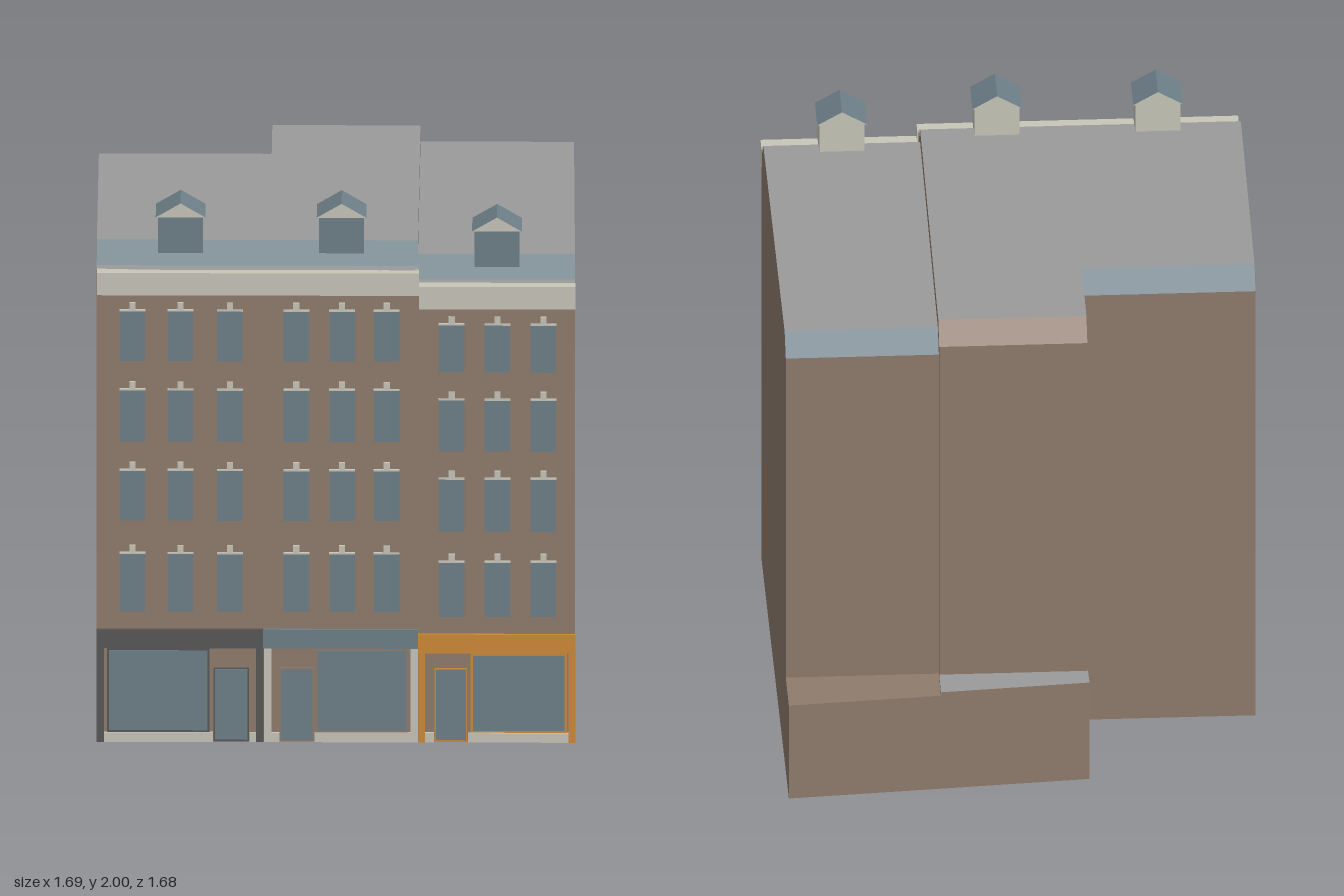
import * as THREE from 'three';

const mat = (name, color) => Object.assign(new THREE.MeshStandardMaterial({ color }), { name });

export function createModel() {
  const brick = mat('brick', 0x8f7c6d);
  const slate = mat('slate', 0x6e7f89);
  const roof = mat('roofGrey', 0x9a9a9a);
  const stone = mat('stone', 0xc8c6b9);
  const dark = mat('charcoal', 0x585858);
  const orange = mat('orange', 0xcf8838);

  const model = new THREE.Group();
  model.name = 'terraceBuilding';

  const add = (parent, name, geometry, material) => {
    const mesh = new THREE.Mesh(geometry, material);
    mesh.name = name;
    parent.add(mesh);
    return mesh;
  };
  // Box given by its limits on each axis
  const box = (parent, name, material, x0, x1, y0, y1, z0, z1) => {
    const g = new THREE.BoxGeometry(x1 - x0, y1 - y0, z1 - z0);
    g.translate((x0 + x1) / 2, (y0 + y1) / 2, (z0 + z1) / 2);
    return add(parent, name, g, material);
  };

  // Prism along x from a side profile of [z, y, material of the next edge]
  const prism = (parent, name, capMaterial, profile, x0, x1, taper = 0) => {
    const mats = [...new Set([capMaterial, ...profile.map((p) => p[2])])];
    const pos = [];
    const g = new THREE.BufferGeometry();
    const put = (p, right) => pos.push(right ? x1 - taper * (0.8 - p[0]) : x0, p[1], p[0]);
    profile.forEach((a, i) => {
      const b = profile[(i + 1) % profile.length];
      g.addGroup(pos.length / 3, 6, mats.indexOf(a[2]));
      [[a, 1], [a, 0], [b, 0], [a, 1], [b, 0], [b, 1]].forEach(([p, r]) => put(p, r));
    });
    const start = pos.length / 3;
    const outline = profile.map((p) => new THREE.Vector2(-p[0], p[1]));
    for (const [a, b, c] of THREE.ShapeUtils.triangulateShape(outline, [])) {
      [a, b, c].forEach((i) => put(profile[i], true));
      [c, b, a].forEach((i) => put(profile[i], false));
    }
    g.addGroup(start, pos.length / 3 - start, 0);
    g.setAttribute('position', new THREE.Float32BufferAttribute(pos, 3));
    g.computeVertexNormals();
    return add(parent, name, g, mats);
  };

  // Three houses with chamfered roofs
  const house = (name, x0, x1, h, back, backSlope, taper) => prism(model, name, brick, [
    [0.8, 0, brick], [back, 0, brick], [back, h - 0.07, backSlope], [back + 0.07, h, roof],
    [0.68, h, slate], [0.75, h - 0.072, roof], [0.8, h - 0.072, brick],
  ], x0, x1, taper);
  house('leftHouse', -0.847, -0.235, 1.83, -0.358, slate, 0);
  house('middleHouse', -0.235, 0.29, 1.83, -0.68, brick, 0);
  house('rightHouse', 0.29, 0.847, 1.78, -0.65, slate, 0.01);

  // Low rear extensions with a slanting back wall
  const extension = (name, plan, h, top) => {
    const shape = new THREE.Shape(plan.map(([x, z]) => new THREE.Vector2(x, -z)));
    const g = new THREE.ExtrudeGeometry(shape, { depth: h, bevelEnabled: false });
    g.rotateX(-Math.PI / 2);
    add(model, name, g, [top, brick]);
  };
  extension('middleExtension', [[-0.235, -0.6], [0.29, -0.6], [0.29, -0.8], [-0.239, -0.76]], 0.4, roof);
  extension('rightExtension', [[0.29, -0.6], [0.833, -0.6], [0.831, -0.84], [0.29, -0.8]], 0.386, brick);

  // Cornices
  box(model, 'leftCornice', stone, -0.845, 0.295, 1.675, 1.758, 0.79, 0.838);
  box(model, 'rightCornice', stone, 0.295, 0.848, 1.625, 1.709, 0.79, 0.838);

  // Dormers
  const dormer = (x, y) => {
    const group = new THREE.Group();
    group.name = 'dormer';
    box(group, 'dormerWalls', stone, -0.08, 0.08, 0, 0.135, 0.63, 0.762);
    box(group, 'dormerWindow', slate, -0.08, 0.08, 0, 0.135, 0.762, 0.767);
    const gable = new THREE.Shape([
      new THREE.Vector2(-0.088, 0.135), new THREE.Vector2(0.088, 0.135), new THREE.Vector2(0, 0.187),
    ]);
    const g = new THREE.ExtrudeGeometry(gable, { depth: 0.154, bevelEnabled: false });
    g.translate(0, 0, 0.621);
    add(group, 'dormerRoof', g, [stone, slate]);
    group.position.set(x, y, 0);
    model.add(group);
  };
  dormer(-0.55, 1.81);
  dormer(0.02, 1.81);
  dormer(0.57, 1.76);

  // Upper windows, each with a small keystone
  const windows = (columns, rows) => {
    for (const x of columns) for (const [y0, y1] of rows) {
      const w = new THREE.Group();
      w.name = 'window';
      box(w, 'pane', slate, -0.045, 0.045, y0, y1, 0.8, 0.809);
      box(w, 'lintel', stone, -0.046, 0.046, y1, y1 + 0.006, 0.8, 0.809);
      box(w, 'keystone', stone, -0.011, 0.011, y1 + 0.006, y1 + 0.032, 0.8, 0.809);
      w.position.x = x;
      model.add(w);
    }
  };
  windows([-0.72, -0.55, -0.375, -0.14, 0.022, 0.18],
    [[1.42, 1.605], [1.12, 1.31], [0.825, 1.01], [0.485, 0.7]]);
  windows([0.41, 0.572, 0.735],
    [[1.38, 1.555], [1.085, 1.275], [0.785, 0.98], [0.468, 0.67]]);

  // Shopfronts: fascia, pillars, display window, door and plinth
  const shop = (o) => {
    const s = new THREE.Group();
    s.name = o.name;
    box(s, 'fascia', o.fascia, o.x0, o.x1, o.top - 0.07, o.top, 0.8, 0.812);
    for (const [a, b] of o.pillars) box(s, 'pillar', o.trim, a, b, 0, o.top - 0.07, 0.8, 0.811);
    const [w0, w1] = o.window;
    box(s, 'windowFrame', o.frame, w0 - 0.008, w1 + 0.008, 0.035, o.top - 0.07, 0.8, 0.804);
    box(s, 'displayWindow', slate, w0, w1, 0.043, o.top - 0.08, 0.8, 0.808);
    const [d0, d1] = o.door;
    box(s, 'doorFrame', o.frame, d0 - 0.005, d1 + 0.005, 0, 0.275, 0.8, 0.804);
    box(s, 'door', slate, d0, d1, 0.008, 0.27, 0.8, 0.808);
    for (const [a, b] of o.plinth) box(s, 'plinth', stone, a, b, 0, 0.035, 0.8, 0.81);
    model.add(s);
  };
  shop({
    name: 'leftShop', x0: -0.847, x1: -0.257, top: 0.42, fascia: dark, trim: dark, frame: dark,
    pillars: [[-0.847, -0.82], [-0.282, -0.257]], window: [-0.803, -0.455],
    door: [-0.428, -0.312], plinth: [[-0.82, -0.435], [-0.305, -0.282]],
  });
  shop({
    name: 'middleShop', x0: -0.257, x1: 0.29, top: 0.42, fascia: slate, trim: stone, frame: brick,
    pillars: [[-0.255, -0.228], [0.264, 0.29]], window: [-0.065, 0.25],
    door: [-0.195, -0.083], plinth: [[-0.228, -0.2], [-0.075, 0.264]],
  });
  shop({
    name: 'rightShop', x0: 0.29, x1: 0.848, top: 0.403, fascia: orange, trim: orange, frame: orange,
    pillars: [[0.292, 0.315], [0.824, 0.848]], window: [0.485, 0.81],
    door: [0.355, 0.46], plinth: [[0.315, 0.348], [0.467, 0.824]],
  });

  return model;
}
